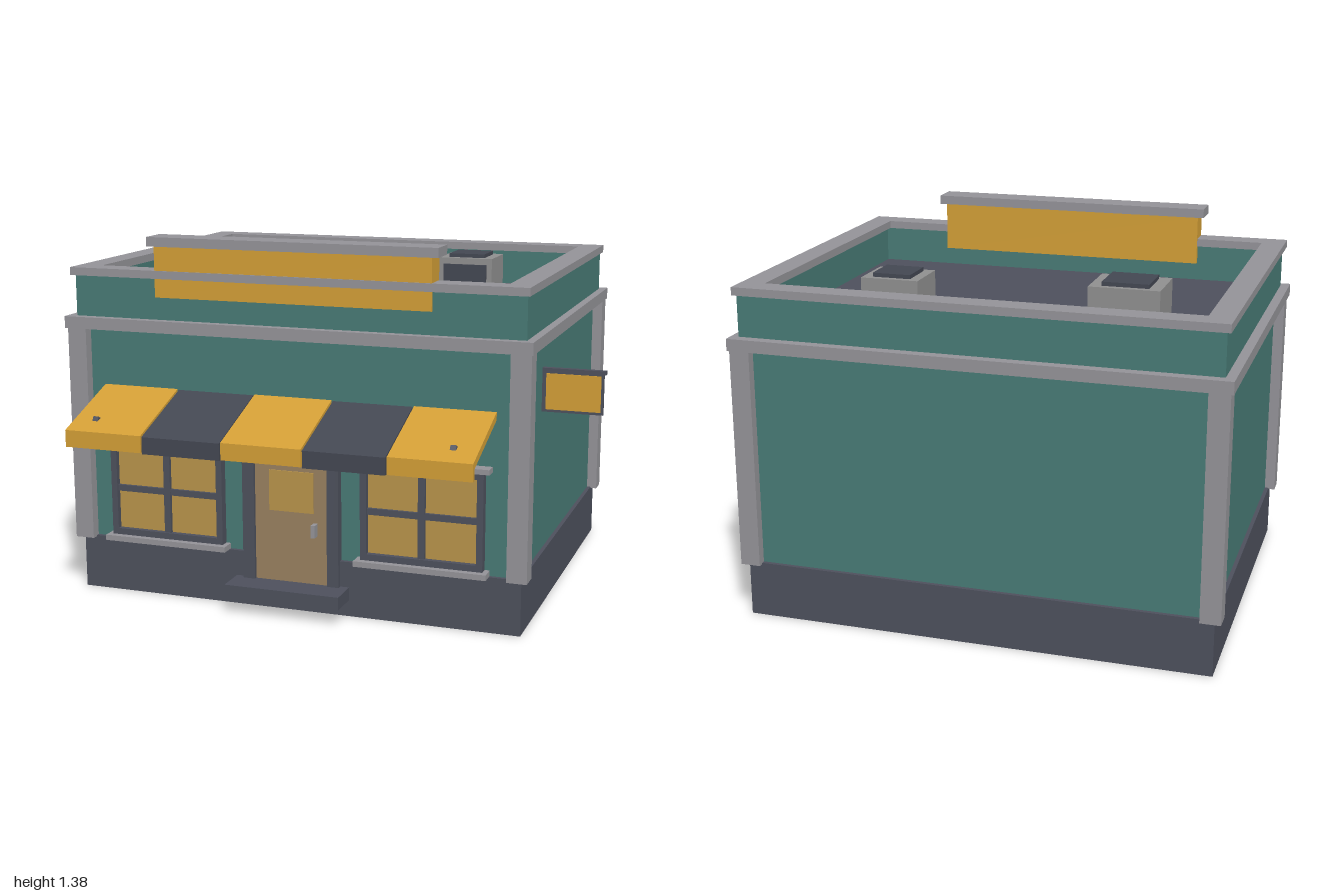
import * as THREE from 'three';

const mat = (name, color) => {
  const m = new THREE.MeshStandardMaterial({ color });
  m.name = name;
  return m;
};

export function createModel() {
  const teal = mat('teal wall', 0x487a75);
  const slate = mat('slate', 0x4d505c);
  const trim = mat('grey trim', 0x949398);
  const gold = mat('gold', 0xd29e36);
  const glass = mat('lit glass', 0xb8934a);
  const doorGlass = mat('door glass', 0x98805f);
  const unitGrey = mat('unit grey', 0x8f8f8f);
  const dark = mat('dark slate', 0x434752);

  const model = new THREE.Group();
  model.name = 'shop';
  const group = (name, parent = model) => {
    const g = new THREE.Group();
    g.name = name;
    parent.add(g);
    return g;
  };
  // Box from its minimum and maximum extents
  const box = (name, m, x0, x1, y0, y1, z0, z1, parent = model) => {
    const mesh = new THREE.Mesh(new THREE.BoxGeometry(x1 - x0, y1 - y0, z1 - z0), m);
    mesh.position.set((x0 + x1) / 2, (y0 + y1) / 2, (z0 + z1) / 2);
    mesh.name = name;
    parent.add(mesh);
    return mesh;
  };
  // Rectangular ring of four bars lying flat, wall thickness t
  const ring = (name, m, x0, x1, y0, y1, z0, z1, t) => {
    const g = group(name);
    box(name + 'Front', m, x0, x1, y0, y1, z1 - t, z1, g);
    box(name + 'Back', m, x0, x1, y0, y1, z0, z0 + t, g);
    box(name + 'Right', m, x0, x0 + t, y0, y1, z0 + t, z1 - t, g);
    box(name + 'Left', m, x1 - t, x1, y0, y1, z0 + t, z1 - t, g);
  };
  const cx = -0.095; // centre line of the building

  // Building shell
  box('base', slate, -0.965, 0.78, 0, 0.21, -0.825, 0.555);
  box('walls', teal, -0.95, 0.765, 0.21, 1.03, -0.81, 0.54);
  for (const [x0, x1] of [[-0.99, -0.915], [0.73, 0.805]])
    for (const [z0, z1] of [[-0.845, -0.77], [0.505, 0.58]])
      box('cornerPilaster', trim, x0, x1, 0.205, 1.03, z0, z1);
  box('cornice', trim, -1, 0.81, 1.03, 1.075, -0.855, 0.585);
  box('roof', slate, -0.92, 0.735, 1.07, 1.09, -0.78, 0.51);
  ring('parapet', teal, -0.965, 0.78, 1.075, 1.23, -0.815, 0.55, 0.06);
  ring('parapetCap', trim, -0.98, 0.79, 1.23, 1.26, -0.835, 0.565, 0.09);

  // Raised sign board above the front
  box('signBoard', gold, -0.63, 0.44, 1.16, 1.35, 0.47, 0.56);
  box('signBoardCap', trim, -0.655, 0.465, 1.35, 1.385, 0.458, 0.57);

  // Rooftop units
  const units = [
    { x: -0.545, w: 0.26, z0: -0.48, z1: -0.265, top: 1.265 },
    { x: 0.325, w: 0.22, z0: -0.5, z1: -0.31, top: 1.245 },
  ];
  for (const { x, w, z0, z1, top } of units) {
    const g = group('rooftopUnit');
    box('unitBody', unitGrey, x - w / 2, x + w / 2, 1.09, top, z0, z1, g);
    box('unitFan', dark, x - w * 0.33, x + w * 0.33, top, top + 0.015, z0 + 0.024, z1 - 0.024, g);
    box('unitGrille', dark, x - w * 0.4, x + w * 0.4, 1.115, top - 0.025, z1, z1 + 0.009, g);
  }

  // Two windows, mirrored about the centre line
  for (const s of [-1, 1]) {
    const x = cx + s * 0.505;
    const g = group('window');
    box('windowGlass', glass, x - 0.21, x + 0.21, 0.25, 0.575, 0.545, 0.554, g);
    for (const e of [-1, 1]) {
      const c = x + e * 0.219;
      box('windowJamb', slate, c - 0.012, c + 0.012, 0.23, 0.597, 0.54, 0.575, g);
    }
    box('windowHead', slate, x - 0.208, x + 0.208, 0.572, 0.597, 0.54, 0.575, g);
    box('windowBottom', slate, x - 0.208, x + 0.208, 0.23, 0.255, 0.54, 0.575, g);
    box('mullion', slate, x - 0.013, x + 0.013, 0.255, 0.572, 0.54, 0.568, g);
    box('transom', slate, x - 0.208, x + 0.208, 0.403, 0.427, 0.54, 0.566, g);
    box('windowSill', trim, x - 0.25, x + 0.25, 0.21, 0.231, 0.54, 0.6, g);
    box('windowLintel', trim, x - 0.255, x + 0.255, 0.596, 0.615, 0.54, 0.59, g);
  }

  // Door and step
  const door = group('door');
  box('doorPanel', doorGlass, -0.24, 0.053, 0.1, 0.66, 0.54, 0.562, door);
  box('doorJamb', slate, -0.285, -0.238, 0.04, 0.7, 0.54, 0.575, door);
  box('doorJamb', slate, 0.05, 0.095, 0.04, 0.7, 0.54, 0.575, door);
  box('doorHead', slate, -0.238, 0.05, 0.65, 0.7, 0.54, 0.575, door);
  box('doorThreshold', slate, -0.238, 0.05, 0.04, 0.11, 0.54, 0.575, door);
  box('doorNotice', glass, -0.18, -0.005, 0.385, 0.54, 0.562, 0.567, door);
  box('doorHandle', trim, -0.006, 0.01, 0.3, 0.348, 0.562, 0.595, door);
  box('doorStep', slate, -0.32, 0.13, 0.063, 0.112, 0.54, 0.675);

  // Striped awning: side profile in (z, y), extruded across each stripe
  const profile = new THREE.Shape([
    [0.54, 0.785], [0.54, 0.814], [0.855, 0.703], [0.855, 0.64],
    [0.838, 0.64], [0.838, 0.681],
  ].map(([z, y]) => new THREE.Vector2(-z, y)));
  const awning = group('awning');
  for (let i = 0; i < 5; i++) {
    const geo = new THREE.ExtrudeGeometry(profile, { depth: 0.303, bevelEnabled: false });
    geo.rotateY(Math.PI / 2);
    const stripe = new THREE.Mesh(geo, i % 2 ? dark : gold);
    stripe.name = 'awningStripe';
    stripe.position.set(-0.86 + i * 0.308, i % 2 ? -0.003 : 0, 0);
    awning.add(stripe);
  }
  // Slanting struts whose tips show through the cloth
  for (const s of [-1, 1]) {
    const a = new THREE.Vector3(cx + s * 0.68, 0.585, 0.545);
    const b = new THREE.Vector3(cx + s * 0.68, 0.734, 0.782);
    const strut = new THREE.Mesh(new THREE.BoxGeometry(0.022, 0.022, a.distanceTo(b)), slate);
    strut.position.copy(a).lerp(b, 0.5);
    strut.lookAt(b);
    strut.name = 'awningStrut';
    awning.add(strut);
  }

  // Projecting sign on the left wall
  const sign = group('sideSign');
  box('sideSignBoard', slate, 0.76, 0.992, 0.755, 0.905, 0.203, 0.217, sign);
  box('sideSignBar', slate, 0.76, 1, 0.905, 0.92, 0.199, 0.221, sign);
  box('sideSignFront', gold, 0.78, 0.983, 0.765, 0.9, 0.217, 0.22, sign);
  box('sideSignBack', gold, 0.78, 0.983, 0.765, 0.9, 0.2, 0.203, sign);

  return model;
}
